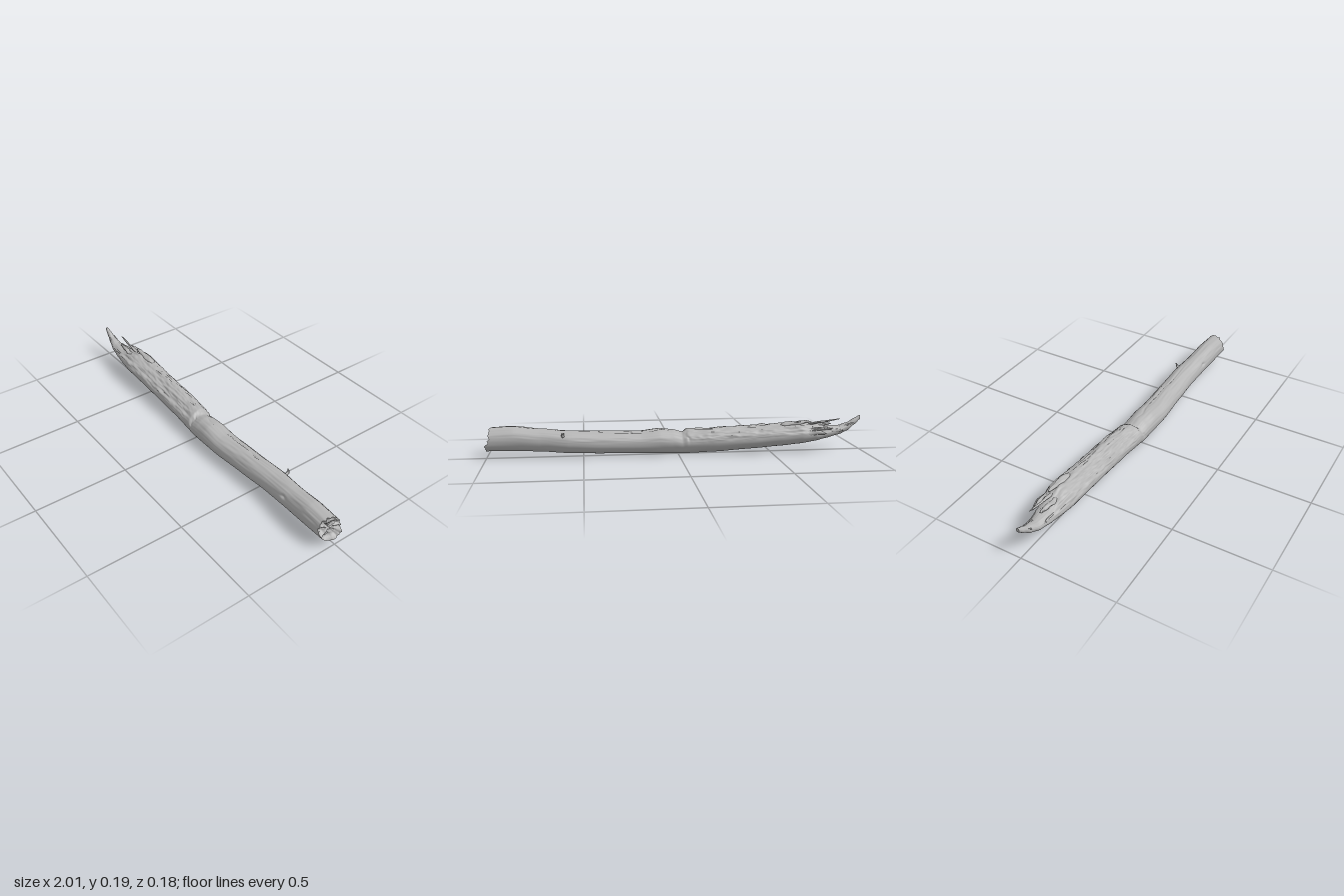
import * as THREE from 'three';

// x, top, bottom, back (-z), front (+z)
const PROFILE = [
  [-1.0, 0.190, 0.166, -0.006, 0.010],
  [-0.97, 0.174, 0.138, -0.012, 0.016],
  [-0.93, 0.150, 0.105, -0.018, 0.024],
  [-0.88, 0.135, 0.085, -0.030, 0.038],
  [-0.80, 0.138, 0.067, -0.050, 0.050],
  [-0.74, 0.150, 0.056, -0.074, 0.060],
  [-0.66, 0.165, 0.045, -0.088, 0.070],
  [-0.55, 0.162, 0.035, -0.087, 0.069],
  [-0.40, 0.150, 0.023, -0.081, 0.067],
  [-0.20, 0.142, 0.011, -0.075, 0.071],
  [-0.045, 0.135, 0.004, -0.066, 0.078],
  [-0.02, 0.118, 0.003, -0.060, 0.080],
  [0.03, 0.131, 0.003, -0.057, 0.083],
  [0.10, 0.139, 0.005, -0.056, 0.087],
  [0.20, 0.127, 0.009, -0.056, 0.088],
  [0.40, 0.132, 0.014, -0.059, 0.074],
  [0.58, 0.140, 0.022, -0.060, 0.067],
  [0.72, 0.151, 0.031, -0.046, 0.073],
  [0.86, 0.167, 0.036, -0.040, 0.080],
  [0.97, 0.162, 0.037, -0.036, 0.080],
];

const { lerp, smoothstep } = THREE.MathUtils;
const hash = (x, y, z) => {
  const s = Math.sin(x * 127.1 + y * 311.7 + z * 74.7) * 43758.5453;
  return s - Math.floor(s);
};

// Smooth value noise, -1 to 1
function noise(x, y, z) {
  const [X, Y, Z] = [x, y, z].map(Math.floor);
  const [u, v, w] = [x - X, y - Y, z - Z].map((t) => t * t * (3 - 2 * t));
  const row = (b, c) => lerp(hash(X, Y + b, Z + c), hash(X + 1, Y + b, Z + c), u);
  return 2 * lerp(lerp(row(0, 0), row(1, 0), v), lerp(row(0, 1), row(1, 1), v), w) - 1;
}

function sample(x) {
  let i = 0;
  while (i < PROFILE.length - 2 && x > PROFILE[i + 1][0]) i++;
  const a = PROFILE[i], b = PROFILE[i + 1];
  const t = smoothstep(x, a[0], b[0]) * 0.5 + (x - a[0]) / (b[0] - a[0]) * 0.5;
  return a.map((v, k) => lerp(v, b[k], t));
}

// Skin closed rings; point(t, angle) returns [x, y, z], t from 0 to 1
function loft(rings, sides, point) {
  const pos = [], index = [];
  for (let i = 0; i <= rings; i++) {
    for (let j = 0; j < sides; j++) {
      pos.push(...point(i / rings, (j / sides) * Math.PI * 2));
      if (i === rings) continue;
      const a = i * sides + j, b = i * sides + ((j + 1) % sides);
      index.push(a, a + sides, b, b, a + sides, b + sides);
    }
  }
  const g = new THREE.BufferGeometry();
  g.setAttribute('position', new THREE.Float32BufferAttribute(pos, 3));
  g.setIndex(index);
  g.computeVertexNormals();
  return g;
}

// Point on the weathered trunk surface
function trunkPoint(x, a) {
  const [, top, bottom, back, front] = sample(x);
  const c = Math.cos(a), s = Math.sin(a);
  const upper = smoothstep(s, -0.2, 0.5);
  const rot = smoothstep(x, -0.92, -0.75) * (1 - smoothstep(x, -0.1, -0.03));
  // long grain along the trunk
  let k = 1 + 0.025 * noise(x * 5, c * 2.5, s * 2.5) + 0.028 * upper * noise(x * 10, c * 9, s * 9);
  // decayed hollow and ledge along the upper front of the left half
  const hollow = smoothstep(a, 0.5, 0.65) * (1 - smoothstep(a, 1.35, 1.7));
  k -= rot * hollow * (0.09 + 0.06 * noise(x * 12, a * 4, 3));
  k += rot * upper * (0.06 * noise(x * 18, c * 7, s * 7) + 0.04 * noise(x * 40, c * 14, s * 14) - 0.015);
  // ragged crack along the top of the right half
  const crack = Math.exp(-(((a - 1.75 - 0.25 * noise(x * 14, 5, 1)) / 0.07) ** 2));
  k -= 0.07 * crack * smoothstep(x, 0, 0.1) * (1 - smoothstep(x, 0.5, 0.65));
  // cross cut and knot hole
  k -= 0.07 * upper * Math.exp(-(((x + 0.03 - 0.015 * c - 0.01 * noise(a * 4, 1, 1)) / 0.008) ** 2));
  k -= 0.14 * Math.exp(-(((x - 0.71) / 0.014) ** 2) - ((a - 0.42) / 0.15) ** 2);
  const y = (top + bottom) / 2 + s * k * (top - bottom) / 2;
  const z = (front + back) / 2 + c * k * (front - back) / 2;
  // ragged slanted right end with a low lip
  const end = smoothstep(x, 0.88, 0.97);
  const lip = 0.022 * (1 - smoothstep(y, 0.07, 0.1));
  return [x + end * (0.004 - 0.2 * (z - 0.02) + lip + 0.007 * noise(c * 5, s * 5, 9)), y, z];
}

// Ragged blunt sliver of wood between two points
function sliver(from, to, width, height, seed) {
  const A = new THREE.Vector3(...from), B = new THREE.Vector3(...to);
  const dir = B.clone().sub(A).normalize();
  const side = dir.clone().cross(new THREE.Vector3(0, 1, 0)).normalize();
  const up = side.clone().cross(dir);
  return loft(20, 16, (t, a) => {
    const taper = Math.min(1, t * 6) * Math.pow(1 - t, 0.45);
    const r = taper * (1 + 0.4 * noise(t * 6, Math.cos(a) * 2 + seed, Math.sin(a) * 2));
    return A.clone().lerp(B, t)
      .addScaledVector(side, Math.cos(a) * r * width + 0.006 * noise(t * 5, seed, 0) * t)
      .addScaledVector(up, Math.sin(a) * r * height + 0.006 * noise(t * 5, seed, 7) * t)
      .toArray();
  });
}

export function createModel() {
  const group = new THREE.Group();
  const wood = new THREE.MeshStandardMaterial({ color: 0xb4b4b4 });
  wood.name = 'weathered grey wood';
  const add = (name, geometry) => {
    const mesh = new THREE.Mesh(geometry, wood);
    mesh.name = name;
    group.add(mesh);
  };

  add('trunk', loft(400, 96, (t, a) => trunkPoint(-1 + 1.97 * t, a)));

  // Broken end face, from the rim to its centre
  add('brokenEnd', loft(16, 96, (t, a) => {
    const [x, y, z] = trunkPoint(0.97, a);
    const Y = lerp(y, 0.101, t), Z = lerp(z, 0.022, t);
    const bump = 0.008 * noise(Y * 50, Z * 50, 2) + 0.003 * noise(Y * 110, Z * 110, 5) - 0.006;
    return [lerp(x, 0.972, t) + Math.min(1, t * 4) * bump, Y, Z];
  }));
  add('tipCap', loft(1, 96, (t, a) => {
    const [x, y, z] = trunkPoint(-1, a);
    return [x, lerp(0.178, y, t), lerp(0.002, z, t)];
  }));

  // Splinters: start, tip, half width, half height
  [
    [[-0.58, 0.108, -0.064], [-0.79, 0.112, -0.078], 0.012, 0.024],
    [[-0.54, 0.150, -0.035], [-0.72, 0.166, -0.038], 0.022, 0.016],
    [[-0.68, 0.145, -0.025], [-0.88, 0.178, -0.022], 0.009, 0.007],
    [[-0.66, 0.125, -0.055], [-0.83, 0.130, -0.055], 0.014, 0.014],
    [[-0.72, 0.108, -0.035], [-0.90, 0.118, -0.032], 0.014, 0.016],
    [[-0.70, 0.135, 0.005], [-0.84, 0.148, 0.000], 0.018, 0.012],
    [[-0.70, 0.108, 0.030], [-0.86, 0.118, 0.036], 0.010, 0.014],
    [[-0.84, 0.110, 0.010], [-0.95, 0.148, 0.020], 0.010, 0.010],
    [[-0.84, 0.110, -0.010], [-0.96, 0.150, -0.014], 0.009, 0.010],
  ].forEach(([from, to, w, h], i) => add('splinter' + (i + 1), sliver(from, to, w, h, i * 3.7)));

  // Short twig stub on the upper back
  add('twigStub', sliver([0.61, 0.105, -0.035], [0.598, 0.140, -0.066], 0.010, 0.009, 50));
  return group;
}
